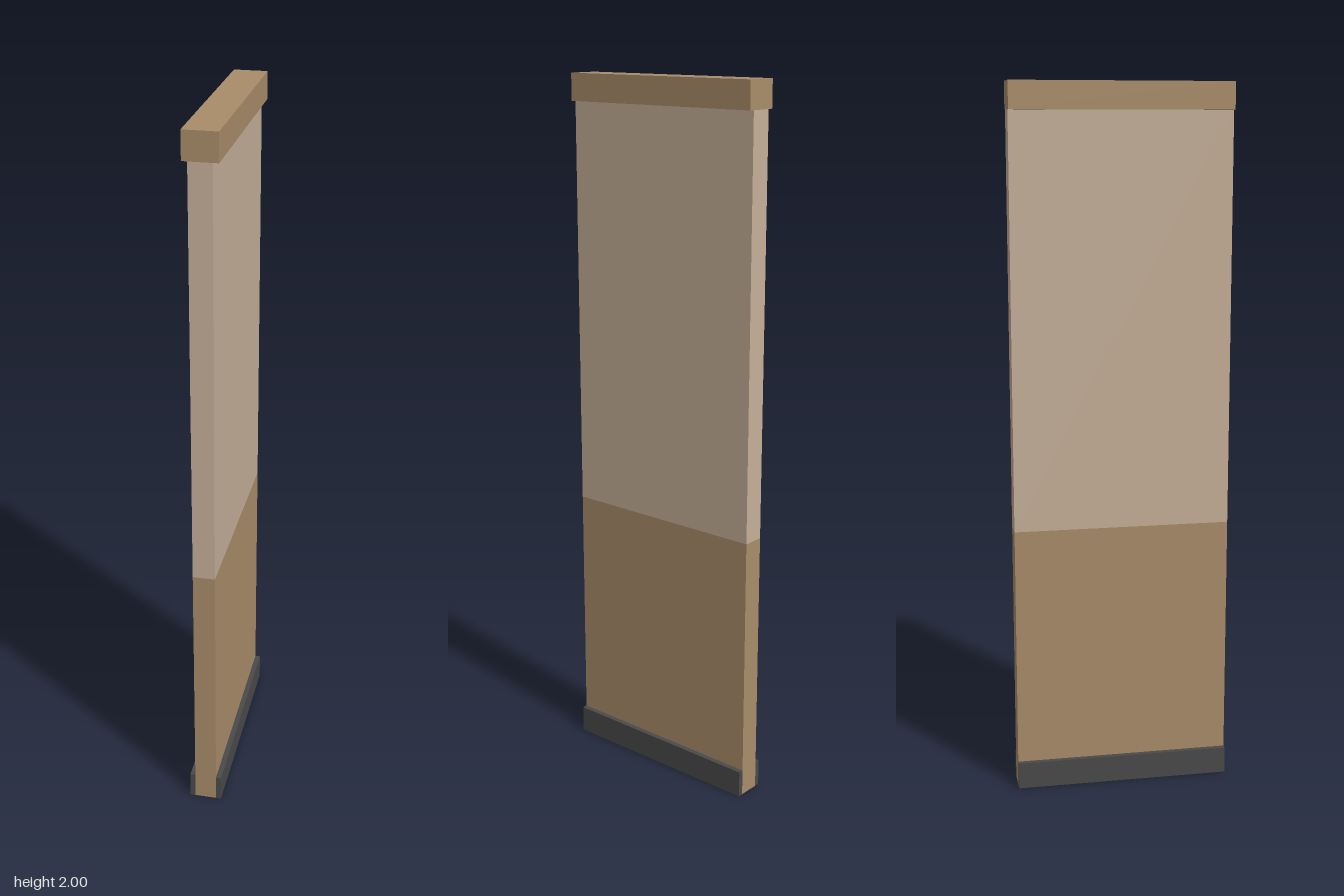
import * as THREE from 'three';

const paint = (name, color) => {
  const m = new THREE.MeshStandardMaterial({ color });
  m.name = name;
  return m;
};

export function createModel() {
  const group = new THREE.Group();
  group.name = 'wallPanel';
  const tan = paint('tan', 0xa98c69);
  const beige = paint('beige', 0xc5af98);
  const charcoal = paint('charcoal', 0x4a4a4a);

  const depth = 0.615;
  const slab = (name, x0, x1, y0, y1, material) => {
    const mesh = new THREE.Mesh(new THREE.BoxGeometry(x1 - x0, y1 - y0, depth), material);
    mesh.position.set((x0 + x1) / 2, (y0 + y1) / 2, 0);
    mesh.name = name;
    group.add(mesh);
  };

  // Two-tone wall between the skirting and the top rail
  slab('lowerWall', -0.031, 0.031, 0, 0.77, tan);
  slab('upperWall', -0.031, 0.031, 0.77, 1.925, beige);
  slab('topRail', -0.046, 0.046, 1.925, 2, tan);

  // Skirting boards on both sides, tan underneath
  const skirting = [charcoal, charcoal, charcoal, tan, charcoal, charcoal];
  slab('leftSkirting', 0.031, 0.046, 0, 0.077, skirting);
  slab('rightSkirting', -0.046, -0.031, 0, 0.077, skirting);

  return group;
}
